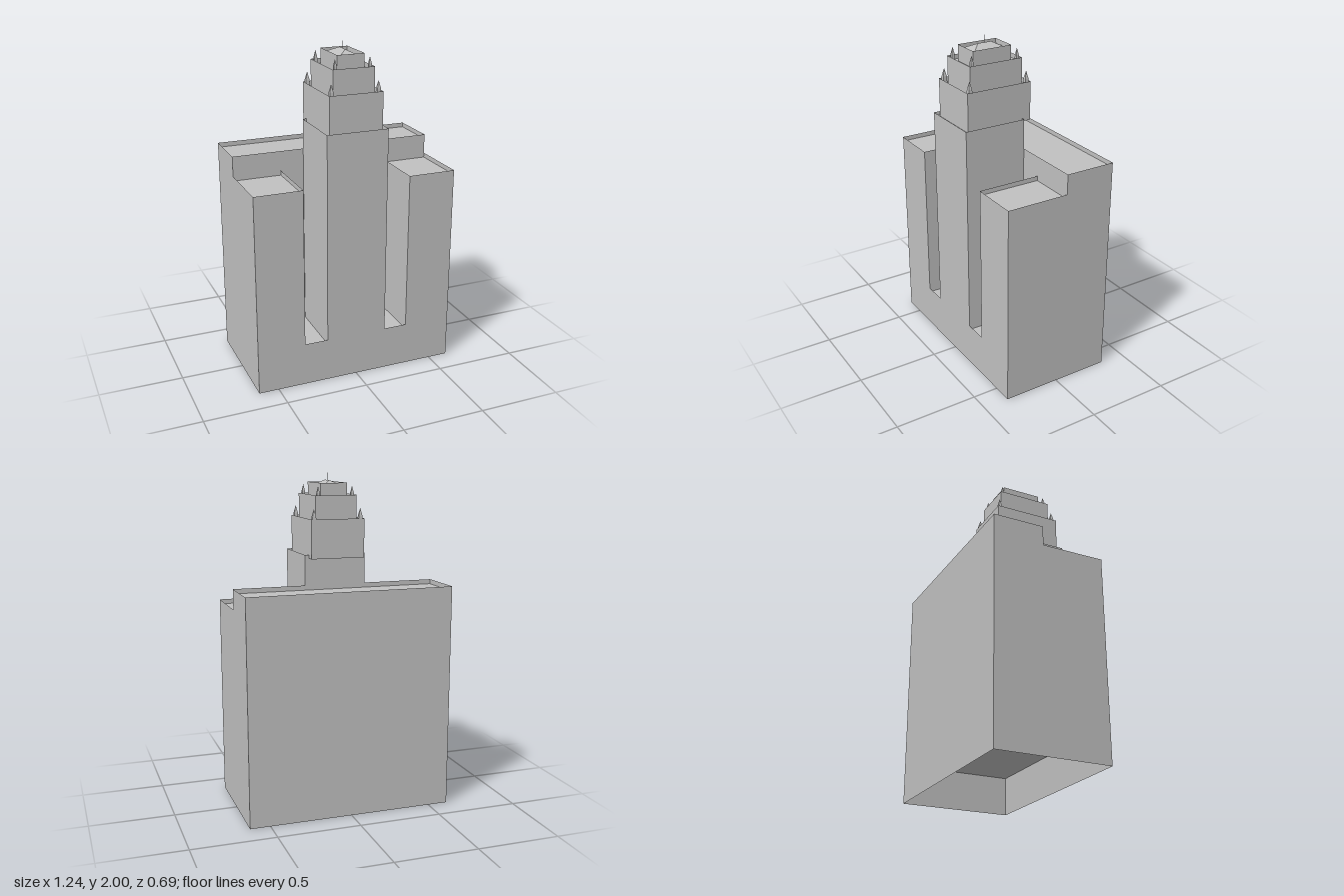
import * as THREE from 'three';

const stone = new THREE.MeshStandardMaterial({ color: 0xc0c0c0, side: THREE.DoubleSide });
stone.name = 'grey stone';

const LIP = 0.028; // depth of each flat roof below its parapet edge

// Flat-shaded mesh from a list of quads or triangles, each a loop of corners
function facesMesh(name, faces) {
  const pos = [];
  for (const f of faces)
    for (let i = 1; i < f.length - 1; i++) pos.push(...f[0], ...f[i], ...f[i + 1]);
  const g = new THREE.BufferGeometry();
  g.setAttribute('position', new THREE.Float32BufferAttribute(pos, 3));
  g.computeVertexNormals();
  const m = new THREE.Mesh(g, stone);
  m.name = name;
  return m;
}

// Thin-walled block, open below, with a flat roof sunk behind its parapet
function block(name, [x0, x1], [y0, y1], [z0, z1], { lip = LIP, roof = true, back = true } = {}) {
  const r = y1 - lip;
  const faces = [
    [[x0, y0, z1], [x1, y0, z1], [x1, y1, z1], [x0, y1, z1]],
    [[x1, y0, z1], [x1, y0, z0], [x1, y1, z0], [x1, y1, z1]],
    [[x0, y0, z0], [x0, y0, z1], [x0, y1, z1], [x0, y1, z0]],
  ];
  if (back) faces.push([[x1, y0, z0], [x0, y0, z0], [x0, y1, z0], [x1, y1, z0]]);
  if (roof) faces.push([[x0, r, z1], [x1, r, z1], [x1, r, z0], [x0, r, z0]]);
  return facesMesh(name, faces);
}

// Square pointed ornament: slightly tapered post under a sharp pyramid
function finial(half, y0, y1) {
  const group = new THREE.Group();
  group.name = 'finial';
  const h = y1 - y0, postH = h * 0.5, r = half * Math.SQRT2;
  const post = new THREE.Mesh(new THREE.CylinderGeometry(r * 0.85, r, postH, 4).toNonIndexed(), stone);
  const tip = new THREE.Mesh(new THREE.CylinderGeometry(0, r * 0.85, h - postH, 4).toNonIndexed(), stone);
  post.name = 'finialPost';
  tip.name = 'finialTip';
  post.position.y = y0 + postH / 2;
  tip.position.y = y0 + postH + (h - postH) / 2;
  for (const m of [post, tip]) {
    m.geometry.computeVertexNormals();
    m.rotation.y = Math.PI / 4;
    group.add(m);
  }
  return group;
}

export function createModel() {
  const model = new THREE.Group();
  model.name = 'steppedTower';
  const W = 0.622, D = 0.345, slabZ = -0.037, notchY = 0.265, floorY = notchY - LIP;

  // Base, rear slab and central shaft
  model.add(block('base', [-W, W], [0, floorY], [-D, D], { lip: 0 }));
  model.add(block('rearSlab', [-W, W], [floorY, 1.35], [-D, slabZ]));
  model.add(block('centralShaft', [-0.187, 0.187], [floorY, 1.53], [slabZ, D], { lip: 0.02 }));

  // Front wings and the low lips closing the light wells beside the shaft
  for (const s of [-1, 1]) {
    const span = (a, b) => (s > 0 ? [a, b] : [-b, -a]);
    model.add(block(s > 0 ? 'leftWing' : 'rightWing', span(0.33, W), [floorY, 1.23], [slabZ, D], { back: false }));
    const [a, b] = span(0.187, 0.33);
    model.add(facesMesh(s > 0 ? 'leftWellLip' : 'rightWellLip',
      [[[a, floorY, D], [b, floorY, D], [b, notchY, D], [a, notchY, D]]]));
  }

  // Stepped crown
  model.add(block('lowerTier', [-0.163, 0.163], [1.51, 1.74], [-0.093, 0.318]));
  model.add(block('middleTier', [-0.127, 0.127], [1.74 - LIP, 1.876], [-0.057, 0.28]));
  model.add(block('upperTier', [-0.083, 0.083], [1.876 - LIP, 1.945], [-0.013, 0.234], { roof: false }));

  // Hipped roof sunk inside the upper tier
  const x = 0.083, z0 = -0.013, z1 = 0.234, e = 1.917, t = 1.958, r0 = 0.068, r1 = 0.153;
  model.add(facesMesh('hippedRoof', [
    [[-x, e, z1], [x, e, z1], [0, t, r1]],
    [[x, e, z0], [-x, e, z0], [0, t, r0]],
    [[x, e, z1], [x, e, z0], [0, t, r0], [0, t, r1]],
    [[-x, e, z0], [-x, e, z1], [0, t, r1], [0, t, r0]],
  ]));

  // Mast
  const mast = new THREE.Mesh(new THREE.CylinderGeometry(0.0012, 0.0018, 0.05, 6), stone);
  mast.name = 'mast';
  mast.position.set(0, 1.975, 0.111);
  model.add(mast);

  // Corner finials on two tiers
  const rows = [
    { x: 0.143, zs: [-0.075, 0.294], half: 0.0125, y0: 1.74 - LIP, y1: 1.8 },
    { x: 0.105, zs: [-0.037, 0.257], half: 0.0095, y0: 1.876 - LIP, y1: 1.93 },
  ];
  for (const row of rows)
    for (const s of [-1, 1])
      for (const z of row.zs) {
        const f = finial(row.half, row.y0, row.y1);
        f.position.set(s * row.x, 0, z);
        model.add(f);
      }

  return model;
}
